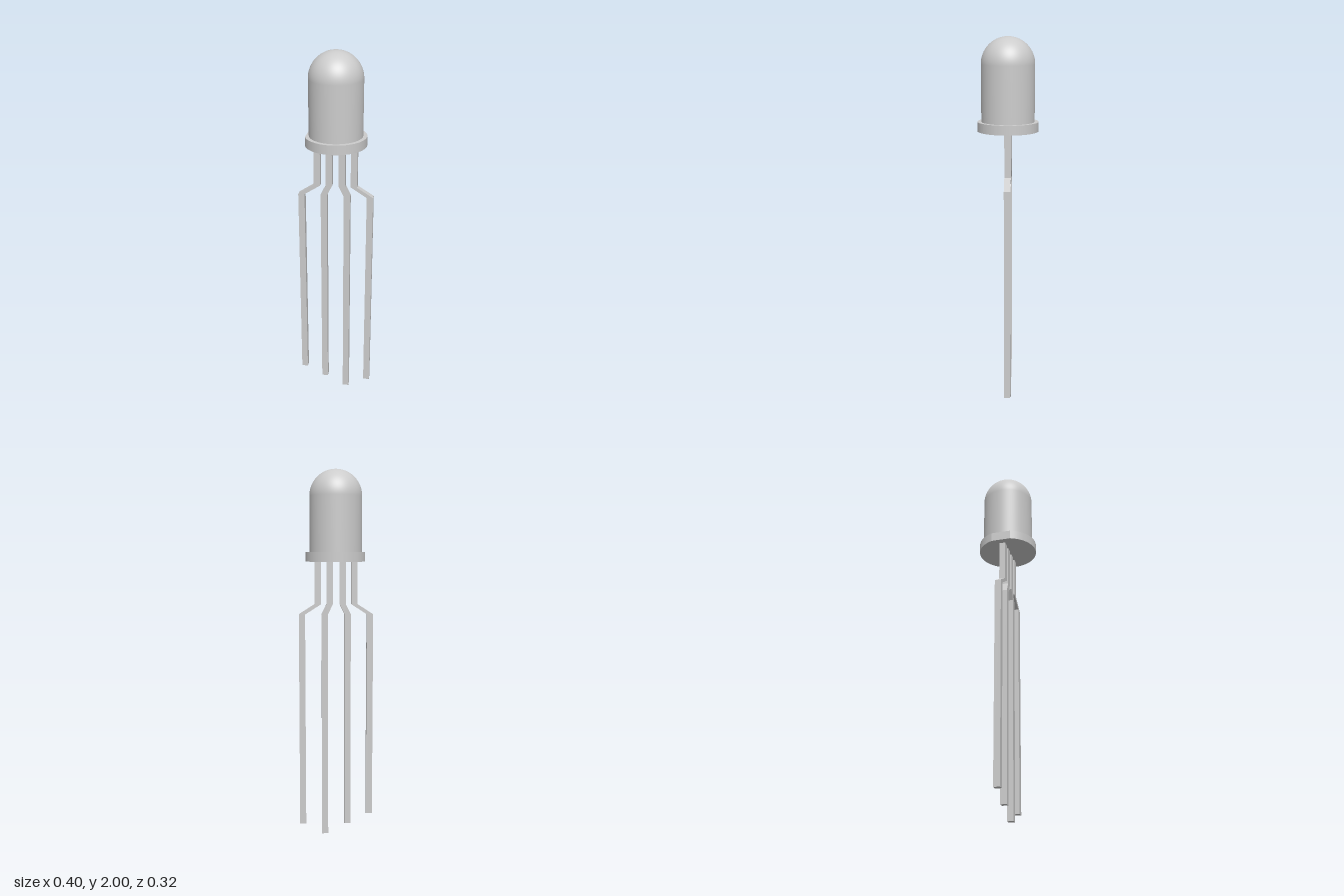
import * as THREE from 'three';

const FLANGE_BOTTOM = 1.515, FLANGE_TOP = 1.565;
const BEND_TOP = 1.287, BEND_BOTTOM = 1.232;
const LEAD_WIDTH = 0.034, LEAD_DEPTH = 0.034;

export function createModel() {
  const group = new THREE.Group();
  const material = new THREE.MeshStandardMaterial({ color: 0xcccccc });
  const add = (name, geometry) => {
    const mesh = new THREE.Mesh(geometry, material);
    mesh.name = name;
    group.add(mesh);
    return mesh;
  };

  // Lens: straight cylinder wall running smoothly into a hemisphere
  const radius = 0.14, shoulder = 2 - radius;
  const profile = [new THREE.Vector2(radius, FLANGE_TOP)];
  for (let i = 0; i <= 24; i++) {
    const a = (i / 24) * Math.PI / 2;
    profile.push(new THREE.Vector2(i === 24 ? 0 : radius * Math.cos(a), shoulder + radius * Math.sin(a)));
  }
  add('lens', new THREE.LatheGeometry(profile, 72));

  // Flange: disc with a flat cut on its -x side
  const flangeRadius = 0.161, flat = Math.acos(-0.152 / flangeRadius);
  const disc = new THREE.Shape();
  disc.absarc(0, 0, flangeRadius, -flat, flat, false);
  disc.closePath();
  const flangeGeometry = new THREE.ExtrudeGeometry(disc, {
    depth: FLANGE_TOP - FLANGE_BOTTOM, bevelEnabled: false, curveSegments: 72,
  });
  flangeGeometry.rotateX(-Math.PI / 2);
  add('flange', flangeGeometry).position.y = FLANGE_BOTTOM;

  // Leads: flat strips that splay outward at a sheared bend
  const leads = [
    { name: 'outerRightLead', top: -0.1, foot: -0.185, end: 0.115 },
    { name: 'innerRightLead', top: -0.037, foot: -0.064, end: 0.058 },
    { name: 'innerLeftLead', top: 0.033, foot: 0.06, end: 0 },
    { name: 'outerLeftLead', top: 0.097, foot: 0.183, end: 0.058 },
  ];
  const h = LEAD_WIDTH / 2;
  for (const { name, top, foot, end } of leads) {
    const centre = [[foot, end], [foot, BEND_BOTTOM], [top, BEND_TOP], [top, FLANGE_BOTTOM]];
    const outline = [
      ...centre.map(([x, y]) => new THREE.Vector2(x + h, y)),
      ...centre.map(([x, y]) => new THREE.Vector2(x - h, y)).reverse(),
    ];
    const geometry = new THREE.ExtrudeGeometry(new THREE.Shape(outline), { depth: LEAD_DEPTH, bevelEnabled: false });
    add(name, geometry).position.z = -0.018;
  }

  return group;
}
